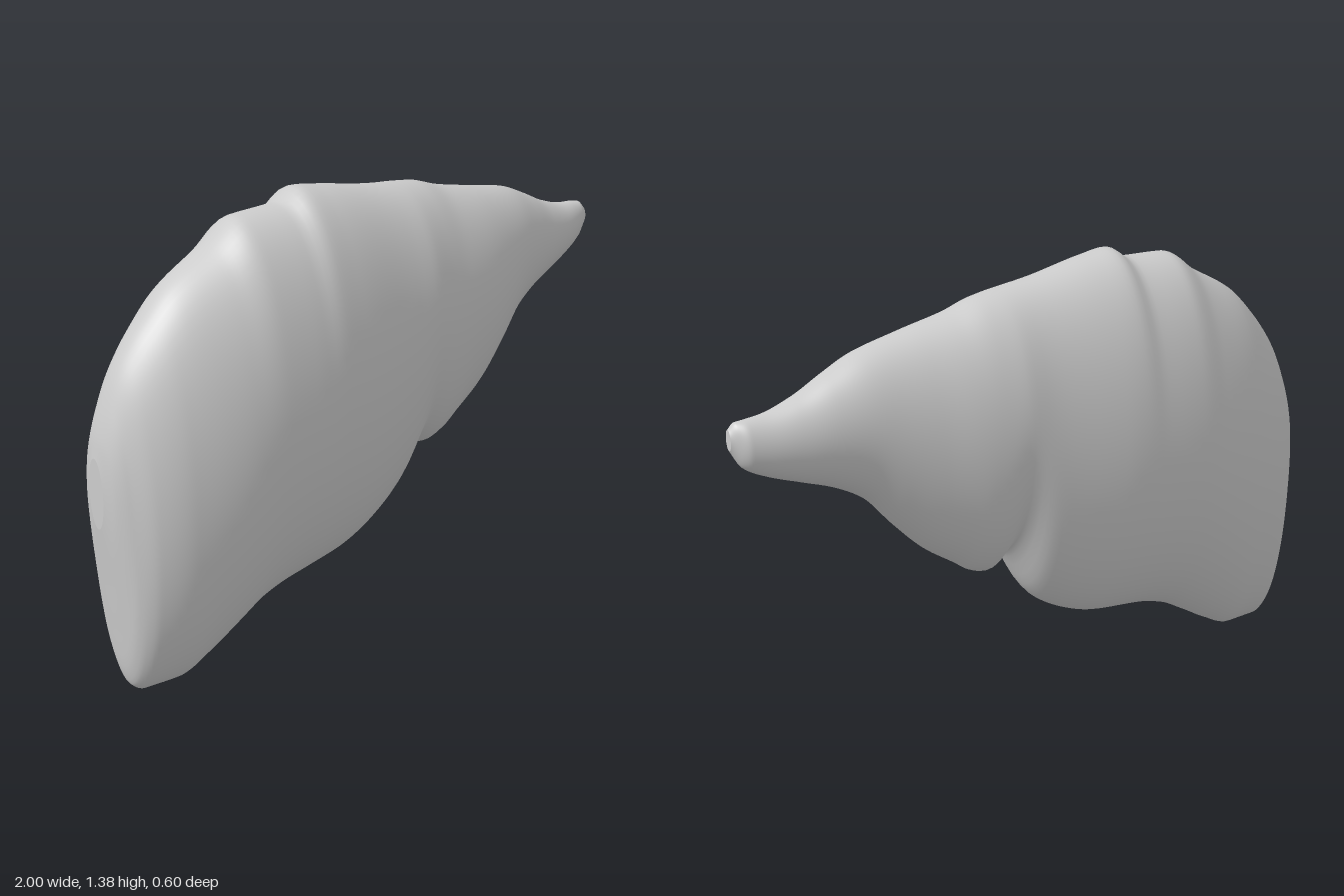
import * as THREE from 'three';

// Outline tables: [x, value]
const TOP = [[-1, .74], [-.99, .8], [-.96, .9], [-.93, .97], [-.9, 1.02], [-.85, 1.085], [-.75, 1.185], [-.6, 1.27],
  [-.5, 1.335], [-.35, 1.342], [-.28, 1.38], [-.2, 1.37], [0, 1.335], [.2, 1.31], [.3, 1.28], [.45, 1.25],
  [.6, 1.22], [.7, 1.18], [.8, 1.135], [.9, 1.107], [.98, 1.1], [1, 1.08]];
const BOTTOM = [[-1, .53], [-.985, .4], [-.965, .21], [-.95, .08], [-.93, .02], [-.9, 0], [-.79, 0], [-.7, .04],
  [-.6, .1], [-.5, .155], [-.4, .185], [-.2, .215], [-.1, .25], [0, .31], [.05, .36], [.1, .44], [.13, .48],
  [.2, .46], [.25, .475], [.3, .51], [.4, .58], [.5, .68], [.6, .79], [.7, .85], [.8, .89], [.9, .93],
  [.97, .97], [1, 1.02]];
const FRONT = [[-1, .11], [-.985, .155], [-.95, .2], [-.9, .24], [-.8, .275], [-.6, .297], [-.4, .285], [-.2, .25],
  [0, .195], [.2, .14], [.4, .085], [.6, 0], [.8, -.09], [.95, -.155], [1, -.18]];
const BACK = [[-1, .03], [-.985, -.015], [-.95, -.06], [-.9, -.1], [-.8, -.15], [-.6, -.22], [-.4, -.26], [-.2, -.285],
  [0, -.29], [.25, -.3], [.4, -.29], [.6, -.277], [.8, -.268], [.95, -.255], [1, -.22]];

// Smooth interpolation without overshoot (Hermite with limited slopes)
function sample(table, x) {
  const slope = i => (table[i + 1][1] - table[i][1]) / (table[i + 1][0] - table[i][0]);
  const last = table.length - 1;
  const tangent = i => {
    if (i === 0) return slope(0);
    if (i === last) return slope(last - 1);
    const a = slope(i - 1), b = slope(i);
    return a * b <= 0 ? 0 : 2 * a * b / (a + b);
  };
  let i = 0;
  while (i < last - 1 && x > table[i + 1][0]) i++;
  const h = table[i + 1][0] - table[i][0], t = (x - table[i][0]) / h, t2 = t * t, t3 = t2 * t;
  return (2 * t3 - 3 * t2 + 1) * table[i][1] + (t3 - 2 * t2 + t) * h * tangent(i)
    + (3 * t2 - 2 * t3) * table[i + 1][1] + (t3 - t2) * h * tangent(i + 1);
}

// Oval slices lofted along x, with a closing point at either end
function lobeGeometry(slices = 180, sides = 72) {
  const positions = [], indices = [];
  for (let s = 0; s <= slices; s++) {
    const x = -Math.cos(Math.PI * s / slices);
    const top = sample(TOP, x), bottom = sample(BOTTOM, x);
    const front = sample(FRONT, x), back = sample(BACK, x);
    const crease = Math.exp(-(((x - .11) / .05) ** 2));
    for (let k = 0; k < sides; k++) {
      const a = 2 * Math.PI * k / sides;
      // fissure between the lobes, on the lower back, fading upward
      const low = Math.max(0, Math.cos(a - Math.PI * 1.33)) ** 3;
      const r = 1 - .1 * crease * low;
      positions.push(x,
        (top + bottom) / 2 + (top - bottom) / 2 * Math.sin(a) * r,
        (front + back) / 2 + (front - back) / 2 * Math.cos(a) * r);
    }
  }
  for (let s = 0; s < slices; s++) {
    for (let k = 0; k < sides; k++) {
      const a = s * sides + k, b = s * sides + (k + 1) % sides;
      indices.push(a, a + sides, b, b, a + sides, b + sides);
    }
  }
  // end caps
  for (const [x, ring] of [[-1, 0], [1, slices * sides]]) {
    const centre = positions.length / 3;
    positions.push(x, (sample(TOP, x) + sample(BOTTOM, x)) / 2, (sample(FRONT, x) + sample(BACK, x)) / 2);
    for (let k = 0; k < sides; k++) {
      const a = ring + k, b = ring + (k + 1) % sides;
      if (x < 0) indices.push(centre, a, b);
      else indices.push(centre, b, a);
    }
  }
  const geometry = new THREE.BufferGeometry();
  geometry.setAttribute('position', new THREE.Float32BufferAttribute(positions, 3));
  geometry.setIndex(indices);
  geometry.computeVertexNormals();
  return geometry;
}

export function createModel() {
  const group = new THREE.Group();
  group.name = 'liver';
  const body = new THREE.Mesh(lobeGeometry(), new THREE.MeshStandardMaterial({ color: 0xcccccc }));
  body.name = 'liverLobes';
  group.add(body);
  return group;
}
